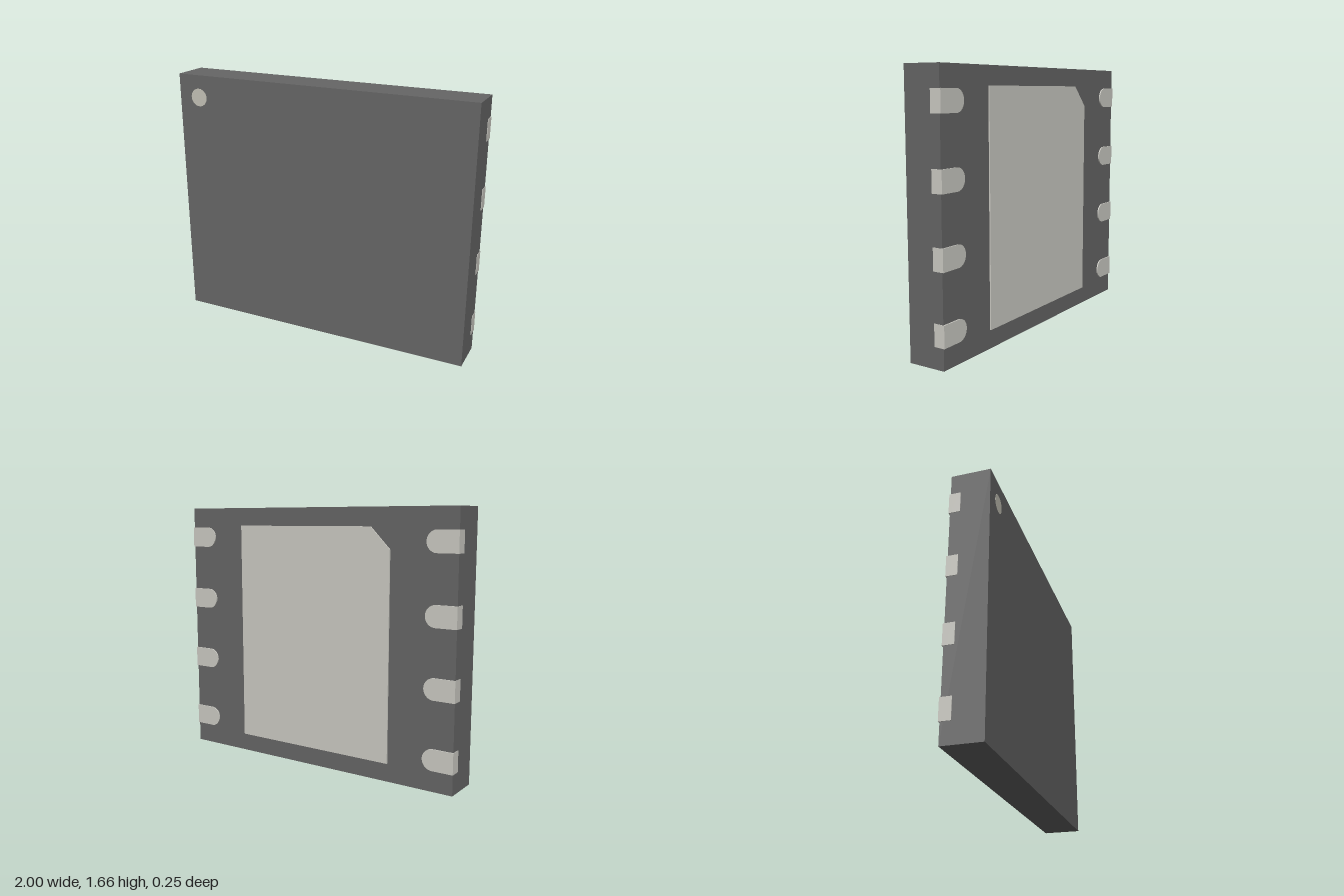
import * as THREE from 'three';

const BODY_W = 1.994, BODY_H = 1.66, FRONT_Z = 0.124, BACK_Z = -0.117, PAD_Z = -0.125;

const bodyMat = new THREE.MeshStandardMaterial({ color: 0x666666 });
const metalMat = new THREE.MeshStandardMaterial({ color: 0xcccbc4 });
const dotMat = new THREE.MeshStandardMaterial({ color: 0xc4c2b6 });

function addMesh(parent, name, geometry, material, x = 0, y = 0, z = 0) {
  const mesh = new THREE.Mesh(geometry, material);
  mesh.name = name;
  mesh.position.set(x, y, z);
  parent.add(mesh);
  return mesh;
}

const plate = (shape, depth) =>
  new THREE.ExtrudeGeometry(shape, { depth, bevelEnabled: false, curveSegments: 16 });

// Lead: back foot with a rounded inner end, plus a short upright on the side wall
function createLead(side) {
  const lead = new THREE.Group();
  const r = 0.066, inner = 0.8, outer = 1;
  const foot = new THREE.Shape();
  foot.moveTo(side * outer, -r);
  foot.lineTo(side * outer, r);
  foot.lineTo(side * (inner + r), r);
  foot.absarc(side * (inner + r), 0, r, Math.PI / 2, side * Math.PI * 1.5 + (side < 0 ? Math.PI : 0), side < 0);
  foot.closePath();
  addMesh(lead, 'leadFoot', plate(foot, 0.03), metalMat, 0, 0, PAD_Z);
  addMesh(lead, 'leadUpright', new THREE.BoxGeometry(0.05, 2 * r, 0.07), metalMat,
    side * (outer - 0.025), 0, PAD_Z + 0.035);
  return lead;
}

export function createModel() {
  const model = new THREE.Group();
  model.name = 'chipPackage';

  // Moulded body
  const depth = FRONT_Z - BACK_Z;
  addMesh(model, 'body', new THREE.BoxGeometry(BODY_W, BODY_H, depth), bodyMat,
    0, BODY_H / 2, (FRONT_Z + BACK_Z) / 2);

  // Orientation dot on the front
  const dot = addMesh(model, 'orientationDot', new THREE.CylinderGeometry(0.058, 0.058, 0.02, 40),
    dotMat, -0.853, 1.515, FRONT_Z - 0.009);
  dot.rotation.x = Math.PI / 2;

  // Large back pad with one clipped corner
  const w = 0.565, low = 0.115, high = 1.545, clip = 0.133;
  const pad = new THREE.Shape([
    [-w, low], [w, low], [w, high], [-w + clip, high], [-w, high - clip],
  ].map(([x, y]) => new THREE.Vector2(x, y)));
  addMesh(model, 'thermalPad', plate(pad, 0.03), metalMat, 0, 0, PAD_Z);

  // Four leads along each side
  for (const side of [-1, 1]) {
    for (let i = 0; i < 4; i++) {
      const lead = createLead(side);
      lead.name = `${side > 0 ? 'left' : 'right'}Lead${i + 1}`;
      lead.position.y = BODY_H / 2 + (i - 1.5) * 0.423;
      model.add(lead);
    }
  }
  return model;
}
